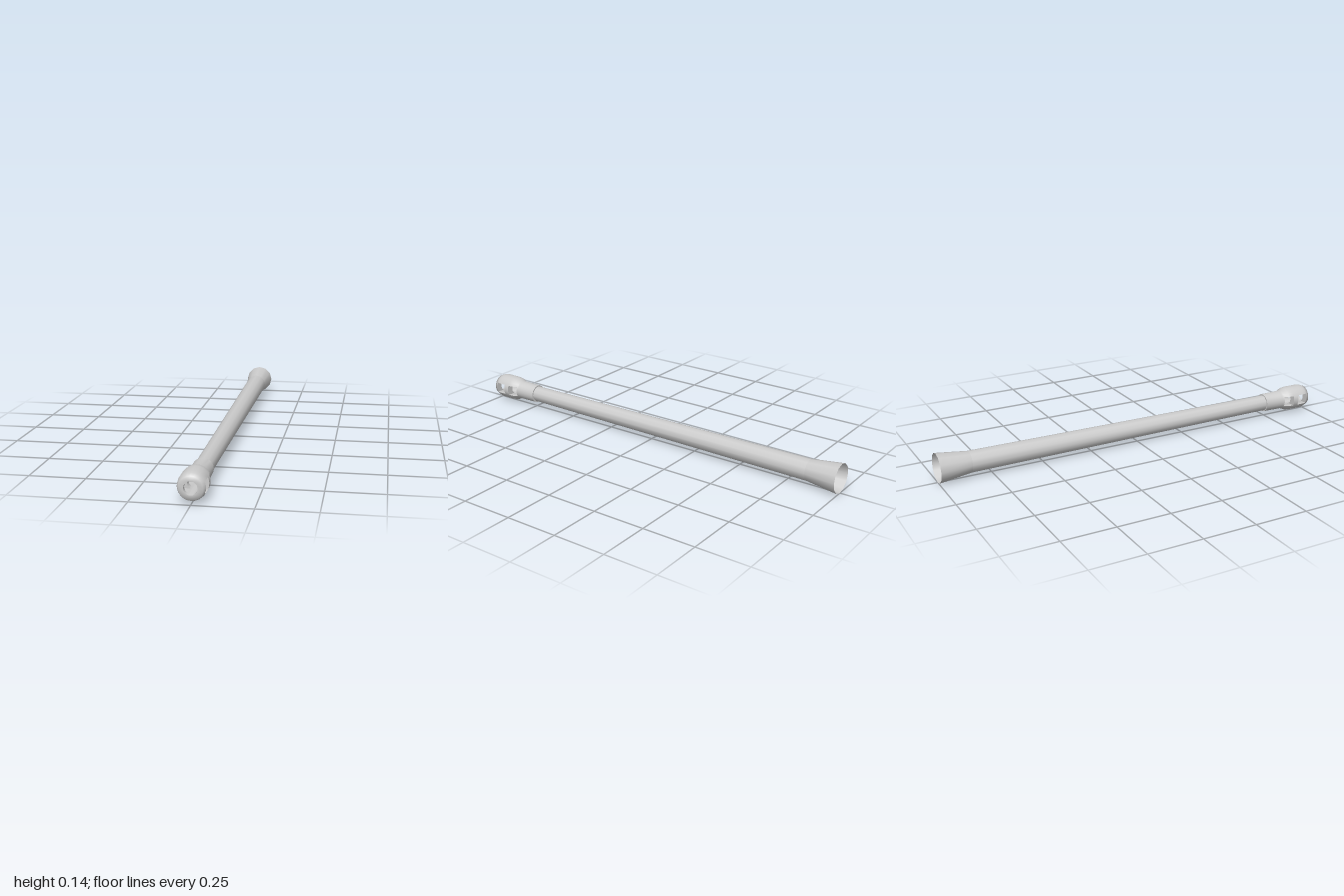
import * as THREE from 'three';
import { toCreasedNormals } from 'three/addons/utils/BufferGeometryUtils.js';

const AXIS_Y = 0.069;
const SIDE = 4, CAP = 8, N = 2 * (SIDE + CAP); // angular steps of the vented head
const SLOT = 0.0255;                           // half height of the vents

// Ring of N points; its corner angles keep the vent edges at a constant height
function ring(r, z) {
  const a = Math.asin(Math.min(1, SLOT / r));
  const spans = [[-a, a, SIDE], [a, Math.PI - a, CAP],
    [Math.PI - a, Math.PI + a, SIDE], [Math.PI + a, 2 * Math.PI - a, CAP]];
  const pts = [];
  for (const [from, to, steps] of spans) {
    for (let i = 0; i < steps; i++) {
      const t = from + (to - from) * i / steps;
      pts.push([r * Math.cos(t), r * Math.sin(t), z]);
    }
  }
  return pts;
}

// Hollow muzzle head with two vents through both sides
function headGeometry() {
  const profile = [
    [0.038, 0.74], [0.045, 0.74], [0.046, 0.84],
    [0.048, 0.85], [0.058, 0.872], [0.061, 0.90],     // rear vent, outside
    [0.061, 0.927], [0.061, 0.96], [0.058, 0.98],     // front vent, outside
    [0.05, 1], [0.029, 1],
    [0.029, 0.98], [0.029, 0.927], [0.029, 0.90], [0.029, 0.85], // bore
  ];
  const rings = profile.map(([r, z]) => ring(r, z));
  const openBands = [3, 4, 6, 7, 11, 13];
  const isSide = (j) => j % (SIDE + CAP) < SIDE;
  const pos = [];
  const tri = (a, b, c) => pos.push(...a, ...b, ...c);
  const quad = (a, b, c, d) => { tri(a, b, c); tri(a, c, d); };

  // Outer skin, front lip and bore
  for (let k = 0; k < rings.length - 1; k++) {
    for (let j = 0; j < N; j++) {
      if (openBands.includes(k) && isSide(j)) continue;
      const n = (j + 1) % N;
      quad(rings[k][j], rings[k][n], rings[k + 1][n], rings[k + 1][j]);
    }
  }
  // Walls of each vent: [outer rings], bore ring at front, bore ring at rear
  for (const [outer, front, rear] of [[[3, 4, 5], 13, 14], [[6, 7, 8], 11, 12]]) {
    for (const j of [0, SIDE, SIDE + CAP, 2 * SIDE + CAP]) {
      const poly = [...outer, front, rear].map((k) => rings[k][j]);
      if (j === 0 || j === SIDE + CAP) poly.reverse();
      for (let i = 1; i < poly.length - 1; i++) tri(poly[0], poly[i], poly[i + 1]);
    }
    for (let j = 0; j < N; j++) {
      if (!isSide(j)) continue;
      const n = j + 1;
      quad(rings[rear][j], rings[outer[0]][j], rings[outer[0]][n], rings[rear][n]);
      quad(rings[front][n], rings[outer[2]][n], rings[outer[2]][j], rings[front][j]);
    }
  }
  const geo = new THREE.BufferGeometry();
  geo.setAttribute('position', new THREE.Float32BufferAttribute(pos, 3));
  return toCreasedNormals(geo, 1.25);
}

// Twelve-sided open tube along z from [radius, z] points
function tubeGeometry(points) {
  const geo = new THREE.LatheGeometry(points.map(([r, z]) => new THREE.Vector2(r, z)), 12);
  return geo.rotateX(Math.PI / 2);
}

export function createModel() {
  const group = new THREE.Group();
  group.name = 'ventedBarrel';
  const material = new THREE.MeshStandardMaterial({ color: 0xcccccc, side: THREE.DoubleSide });
  const add = (name, geometry, z = 0) => {
    const mesh = new THREE.Mesh(geometry, material);
    mesh.name = name;
    mesh.position.set(0, AXIS_Y, z);
    group.add(mesh);
  };

  add('flaredBase', tubeGeometry([[0.069, -1], [0.05, -0.85]]));
  add('barrel', tubeGeometry([[0.05, -0.85], [0.039, 0.76]]));
  add('muzzleHead', headGeometry());
  add('boreEnd', new THREE.CircleGeometry(0.029, 24), 0.85);
  return group;
}
